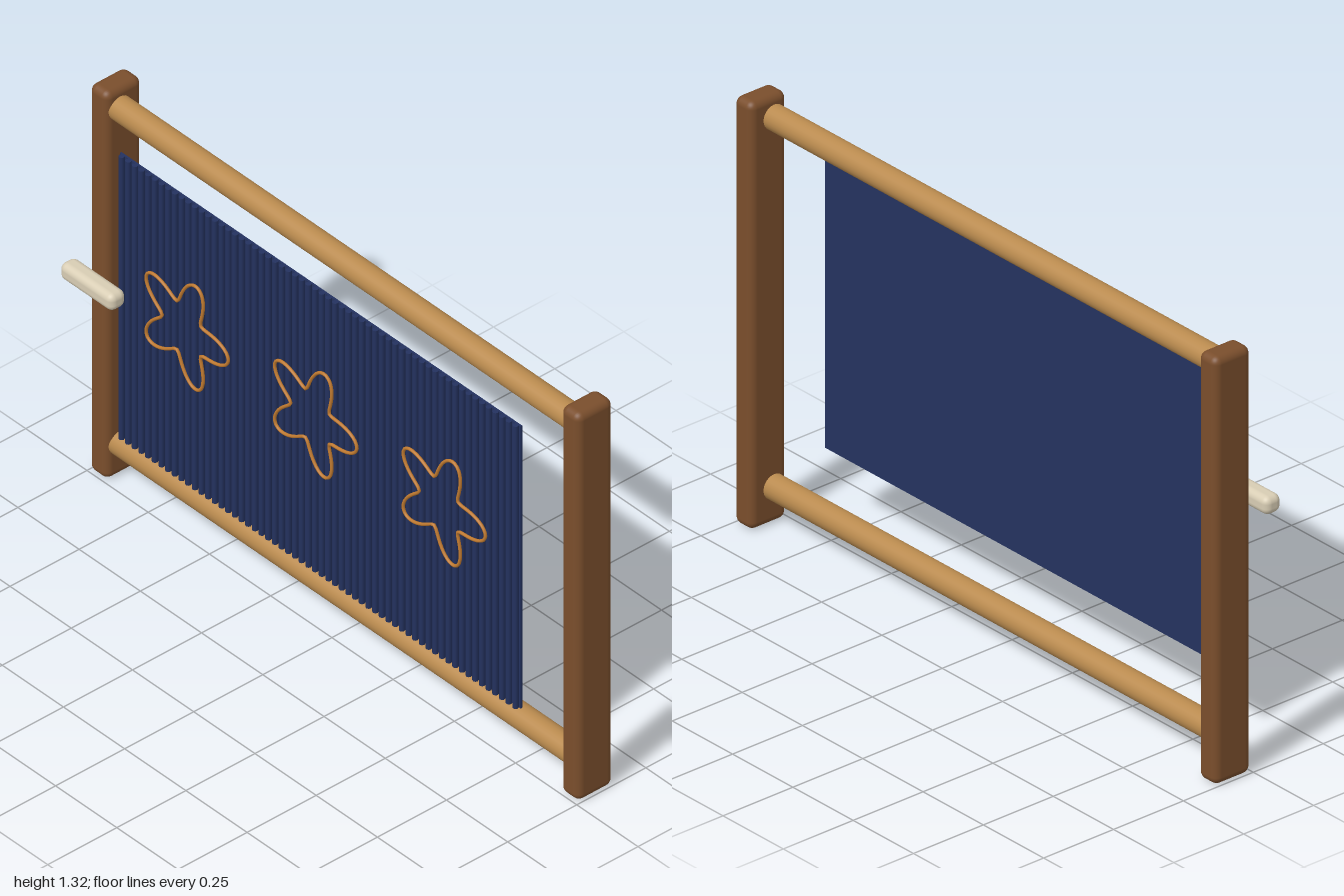
import * as THREE from 'three';
import { mergeVertices, mergeGeometries } from 'three/addons/utils/BufferGeometryUtils.js';
import { RoundedBoxGeometry } from 'three/addons/geometries/RoundedBoxGeometry.js';

const material = (name, color) => {
  const m = new THREE.MeshStandardMaterial({ color });
  m.name = name;
  return m;
};

export function createModel() {
  const group = new THREE.Group();
  const darkWood = material('darkWood', 0x7a4e2c);
  const lightWood = material('lightWood', 0xb98a4e);
  const navy = material('navyCloth', 0x24325f);
  const orange = material('orangeThread', 0xc07a30);
  const bone = material('paleBone', 0xd8cdb4);

  const add = (name, geometry, mat, x, y, z) => {
    const mesh = new THREE.Mesh(geometry, mat);
    mesh.name = name;
    mesh.position.set(x, y, z);
    group.add(mesh);
    return mesh;
  };

  // Side posts
  const postGeometry = new RoundedBoxGeometry(0.075, 1.315, 0.13, 4, 0.023);
  add('leftPost', postGeometry, darkWood, 0.9625, 0.6575, -0.07);
  add('rightPost', postGeometry, darkWood, -0.9625, 0.6575, -0.07);

  // Round rails, with normals shared between the wall and the end caps
  let railGeometry = new THREE.CylinderGeometry(0.038, 0.038, 1.89, 24).rotateZ(Math.PI / 2);
  railGeometry.deleteAttribute('normal');
  railGeometry.deleteAttribute('uv');
  railGeometry = mergeVertices(railGeometry);
  railGeometry.computeVertexNormals();
  add('topRail', railGeometry, lightWood, 0, 1.25, -0.053);
  add('bottomRail', railGeometry, lightWood, 0, 0.113, -0.053);

  // Cloth: a flat back with a row of upright threads on its front
  const width = 1.636, height = 0.96, threads = 60;
  add('clothBacking', new THREE.BoxGeometry(width, height, 0.006), navy, 0, 0.725, 0.039);
  const strands = [];
  for (let i = 0; i < threads; i++) {
    const strand = new THREE.CylinderGeometry(0.009, 0.009, height, 8);
    strand.translate((i + 0.5) * width / threads - width / 2, 0, 0);
    strands.push(strand);
  }
  add('warpThreads', mergeGeometries(strands), navy, 0, 0.725, 0.048);

  // Three five-lobed flower outlines
  const points = [];
  for (let i = 0; i < 60; i++) {
    const a = i / 60 * Math.PI * 2;
    const r = 0.135 + 0.048 * Math.cos(5 * a);
    points.push(new THREE.Vector3(r * Math.cos(a), r * Math.sin(a), 0));
  }
  const outline = new THREE.CatmullRomCurve3(points, true);
  const flowerGeometry = new THREE.TubeGeometry(outline, 120, 0.005, 8, true);
  for (let i = 0; i < 3; i++) {
    add('flowerOutline' + (i + 1), flowerGeometry, orange, -0.53 + 0.525 * i, 0.78, 0.067);
  }

  // Shuttle resting in front of the cloth
  add('shuttle', new RoundedBoxGeometry(0.216, 0.056, 0.058, 4, 0.021), bone, -0.857, 0.768, 0.106);

  return group;
}
